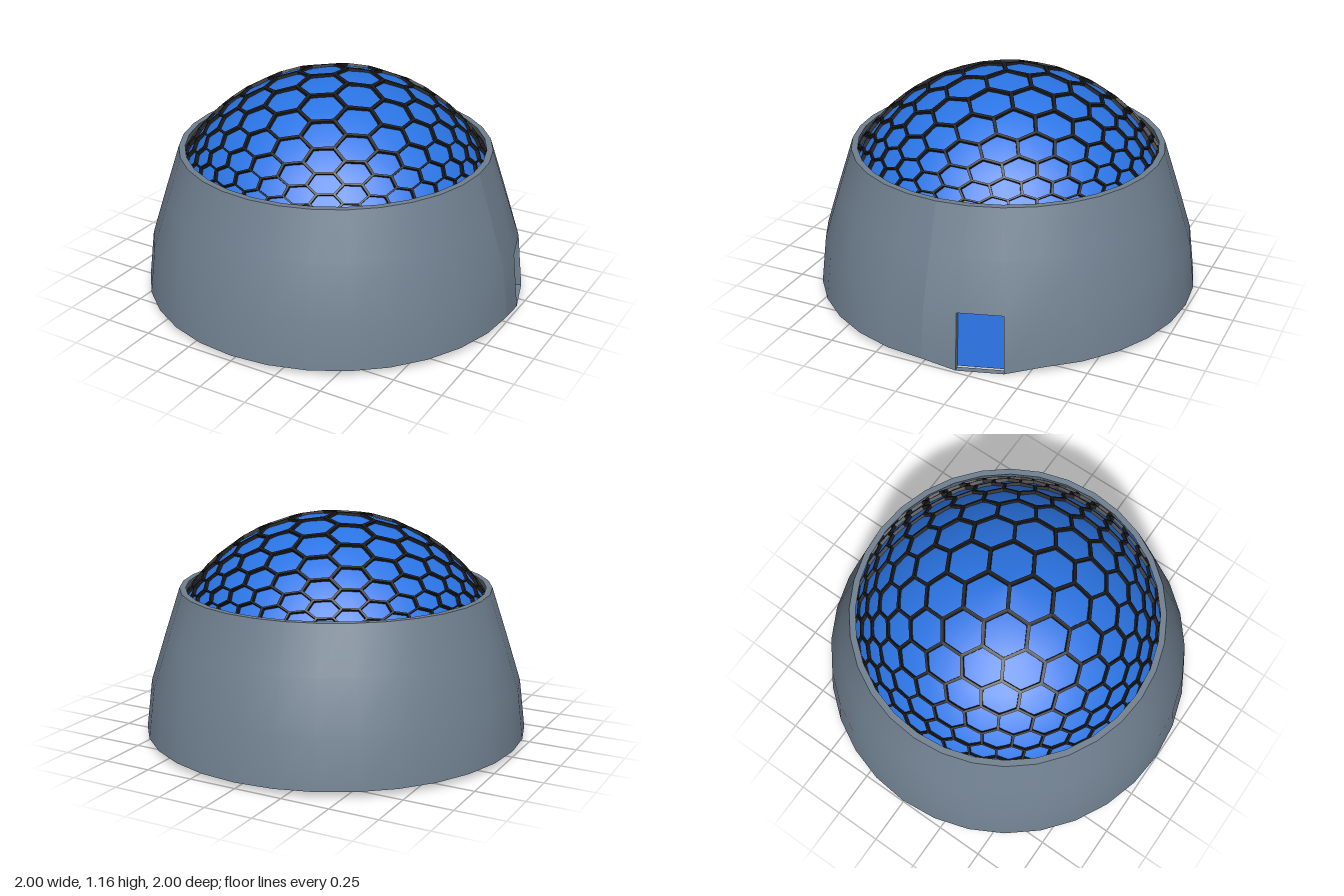
import * as THREE from 'three';
import { mergeGeometries } from 'three/addons/utils/BufferGeometryUtils.js';

const SEG = 32;
const BASE_Y = 0.2; // height of the dome's base
const RX = 0.937, RY = 0.946; // dome half-width and height

const material = (color) => new THREE.MeshStandardMaterial({ color, side: THREE.DoubleSide });

// Wall cross-sections [radius, height], bottom to top
const OUTER = [[1, 0.03], [0.968, 0.287], [0.888, 0.54], [0.81, 0.778]];
const INNER = [[0.968, 0.03], [0.937, 0.287], [0.857, 0.54], [0.778, 0.778]];

// Point on a wall ring; the two columns beside the door are pulled into a frame
function wallPoint(profile, row, i) {
  i = i % SEG;
  let [r, y] = profile[row];
  let deg = i * 360 / SEG;
  if (row < 2 && (i === 1 || i === 2)) {
    deg = i === 1 ? 10 : 23.3;
    y = row === 0 ? 0 : 0.297;
  }
  const a = THREE.MathUtils.degToRad(deg);
  return [r * Math.cos(a), y, -r * Math.sin(a)];
}

// Sheet between rings of points, leaving out the quads that skip() names
function sheet(rings, skip = () => false) {
  const n = rings[0].length, index = [];
  for (let r = 0; r < rings.length - 1; r++) {
    for (let i = 0; i < n - 1; i++) {
      if (skip(r, i)) continue;
      const a = r * n + i, b = a + 1, c = a + n, d = c + 1;
      index.push(a, b, d, a, d, c);
    }
  }
  const g = new THREE.BufferGeometry();
  g.setAttribute('position', new THREE.Float32BufferAttribute(rings.flat(2), 3));
  g.setIndex(index);
  g.computeVertexNormals();
  return g;
}

function ring(profile, row) {
  return Array.from({ length: SEG + 1 }, (_, i) => wallPoint(profile, row, i));
}

function createWall() {
  const doorway = (row, i) => row === 0 && i === 1;
  const rows = [0, 1, 2, 3];
  const o = (row, i) => wallPoint(OUTER, row, i);
  const n = (row, i) => wallPoint(INNER, row, i);
  return mergeGeometries([
    sheet(rows.map((r) => ring(OUTER, r)), doorway),
    sheet([...rows].reverse().map((r) => ring(INNER, r)), (r, i) => doorway(2 - r, i)),
    sheet([ring(OUTER, 3), ring(INNER, 3)]), // top rim
    sheet([ring(INNER, 0), ring(OUTER, 0)]), // bottom rim and sill
    // door reveals
    sheet([[o(0, 1), n(0, 1)], [o(1, 1), n(1, 1)]]),
    sheet([[n(0, 2), o(0, 2)], [n(1, 2), o(1, 2)]]),
    sheet([[o(1, 1), n(1, 1)], [o(1, 2), n(1, 2)]]),
  ]);
}

// Quarter-ellipse profile from the base to the crown
function arc(inset) {
  return Array.from({ length: 9 }, (_, i) => {
    const t = i / 8 * Math.PI / 2;
    return new THREE.Vector2(
      i === 8 ? 0 : (RX - inset) * Math.cos(t),
      BASE_Y + (RY - inset) * Math.sin(t));
  });
}

function createDome() {
  const outer = arc(0), inner = arc(0.02);
  return mergeGeometries([
    new THREE.LatheGeometry(outer, SEG),
    new THREE.LatheGeometry(inner.slice().reverse(), SEG),
    new THREE.LatheGeometry([inner[0], outer[0]], SEG),
  ]);
}

// Flat hexagon grid projected from the dome's centre onto its surface
function createLattice() {
  const width = 0.222, radius = width / Math.sqrt(3), pitch = radius * 1.5;
  const project = (u, v, lift) => {
    const d = new THREE.Vector3(u, RY, -v).normalize();
    return d.multiply(new THREE.Vector3(RX + lift, RY + lift, RX + lift)).setY(d.y + BASE_Y);
  };
  const hexagon = (cx, cy, r) => Array.from({ length: 6 }, (_, k) => {
    const a = Math.PI / 6 + k * Math.PI / 3;
    return new THREE.Vector2(cx + r * Math.cos(a), cy + r * Math.sin(a));
  });
  const cells = [];
  for (let row = -9; row <= 9; row++) {
    for (let col = -9; col <= 9; col++) {
      const u = (col + Math.abs(row % 2) / 2) * width;
      const v = row * pitch - 0.14;
      if (project(u, v, 0).y < 0.725) continue;
      const shape = new THREE.Shape(hexagon(u, v, radius));
      shape.holes.push(new THREE.Path(hexagon(u, v, radius - 0.011)));
      const g = new THREE.ExtrudeGeometry(shape, { depth: 0.024, bevelEnabled: false });
      const p = g.attributes.position;
      for (let i = 0; i < p.count; i++) {
        const q = project(p.getX(i), p.getY(i), p.getZ(i) - 0.012);
        p.setXYZ(i, q.x, q.y, q.z);
      }
      g.computeVertexNormals();
      cells.push(g);
    }
  }
  return mergeGeometries(cells);
}

// Panel closing the doorway on the wall's inner side
function createDoor() {
  const p = (row, i) => {
    const [x, y, z] = wallPoint(INNER, row, i);
    return [x, Math.max(y, 0.008), z];
  };
  return sheet([[p(0, 1), p(0, 2)], [p(1, 1), p(1, 2)]]);
}

export function createModel() {
  const group = new THREE.Group();
  const blue = material(0x2a74e4);
  const add = (name, geometry, mat) => {
    const mesh = new THREE.Mesh(geometry, mat);
    mesh.name = name;
    group.add(mesh);
  };
  add('wall', createWall(), material(0x708090));
  add('dome', createDome(), blue);
  add('hexLattice', createLattice(), material(0x1c1c1e));
  add('door', createDoor(), blue);
  return group;
}
